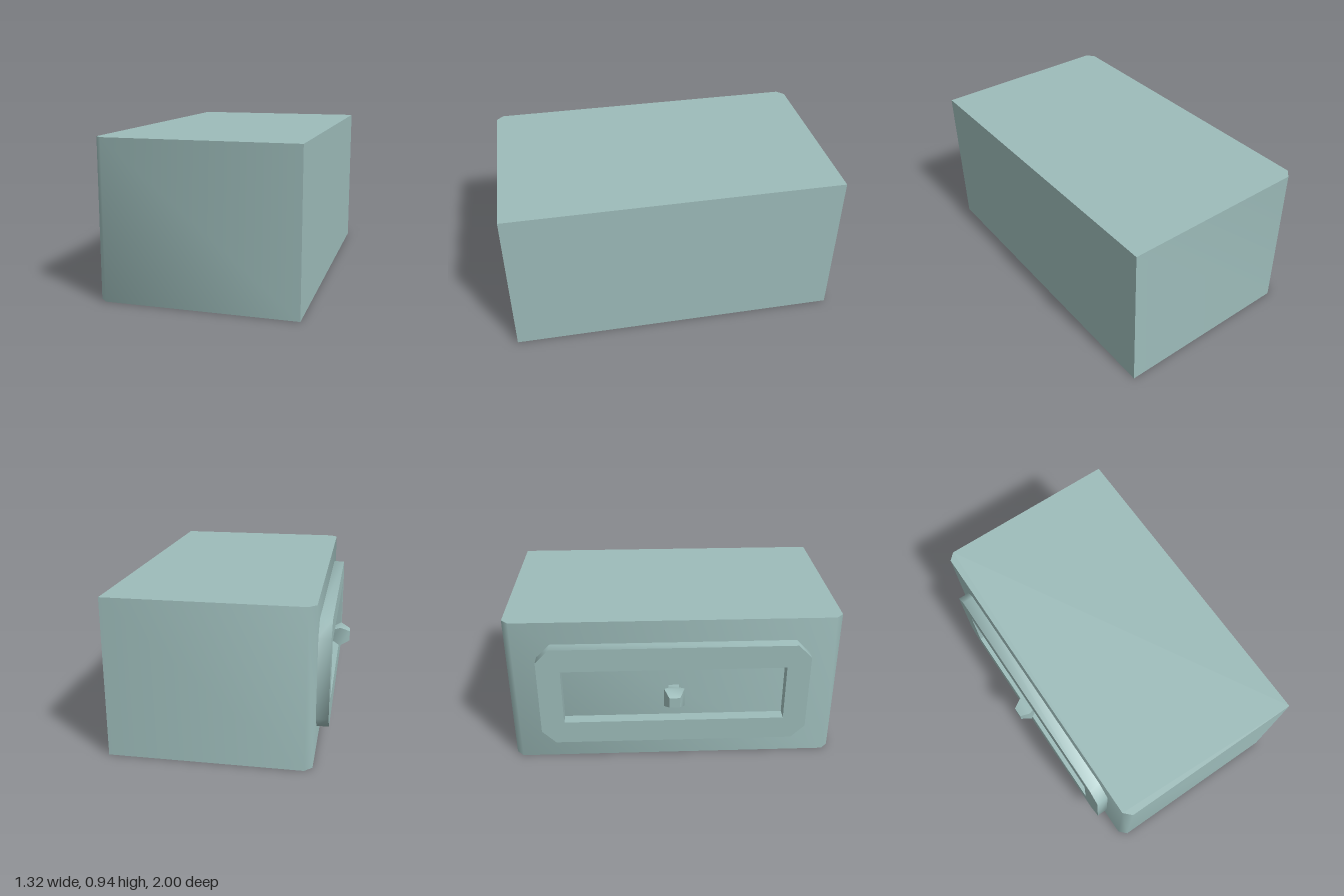
import * as THREE from 'three';
import { toCreasedNormals } from 'three/addons/utils/BufferGeometryUtils.js';

const CREASE = 1.08; // chamfers shade smoothly, square corners stay sharp

const polygon = (points) => points.map(([x, y]) => new THREE.Vector2(x, y));

export function createModel() {
  const model = new THREE.Group();
  model.name = 'drawer';
  const paint = new THREE.MeshStandardMaterial({ color: 0x9dbcba });
  paint.name = 'grey teal paint';

  const add = (name, geometry) => {
    const mesh = new THREE.Mesh(toCreasedNormals(geometry, CREASE), paint);
    mesh.name = name;
    model.add(mesh);
  };

  // Body: plan outline with two chamfered corners, raised upwards
  const plan = new THREE.Shape(polygon([
    [0.66, -1], [0.66, 1], [-0.465, 1], [-0.508, 0.957], [-0.508, -0.957], [-0.465, -1],
  ]));
  add('body', new THREE.ExtrudeGeometry(plan, { depth: 0.94, bevelEnabled: false })
    .rotateX(-Math.PI / 2));

  // Raised frame with clipped corners around a sunken panel, on the -x face
  const w = 0.813, h = 0.325, c = 0.083;
  const outline = new THREE.Shape(polygon([
    [w, -h + c], [w, h - c], [w - c, h], [-w + c, h],
    [-w, h - c], [-w, -h + c], [-w + c, -h], [w - c, -h],
  ]));
  const iw = 0.672, ih = 0.178;
  outline.holes.push(new THREE.Path(polygon([[-iw, -ih], [-iw, ih], [iw, ih], [iw, -ih]])));
  add('frame', new THREE.ExtrudeGeometry(outline, { depth: 0.074, bevelEnabled: false })
    .rotateY(-Math.PI / 2)
    .translate(-0.506, 0.472, 0));

  // Knob: square section, stem flaring then tapering to a flat tip
  const profile = polygon([[0.032, 0], [0.032, 0.035], [0.061, 0.095], [0.032, 0.155], [0, 0.155]]
    .map(([r, y]) => [r * Math.SQRT2, y]));
  add('knob', new THREE.LatheGeometry(profile, 4)
    .rotateY(Math.PI / 4)
    .rotateZ(Math.PI / 2)
    .translate(-0.505, 0.472, 0));

  return model;
}
